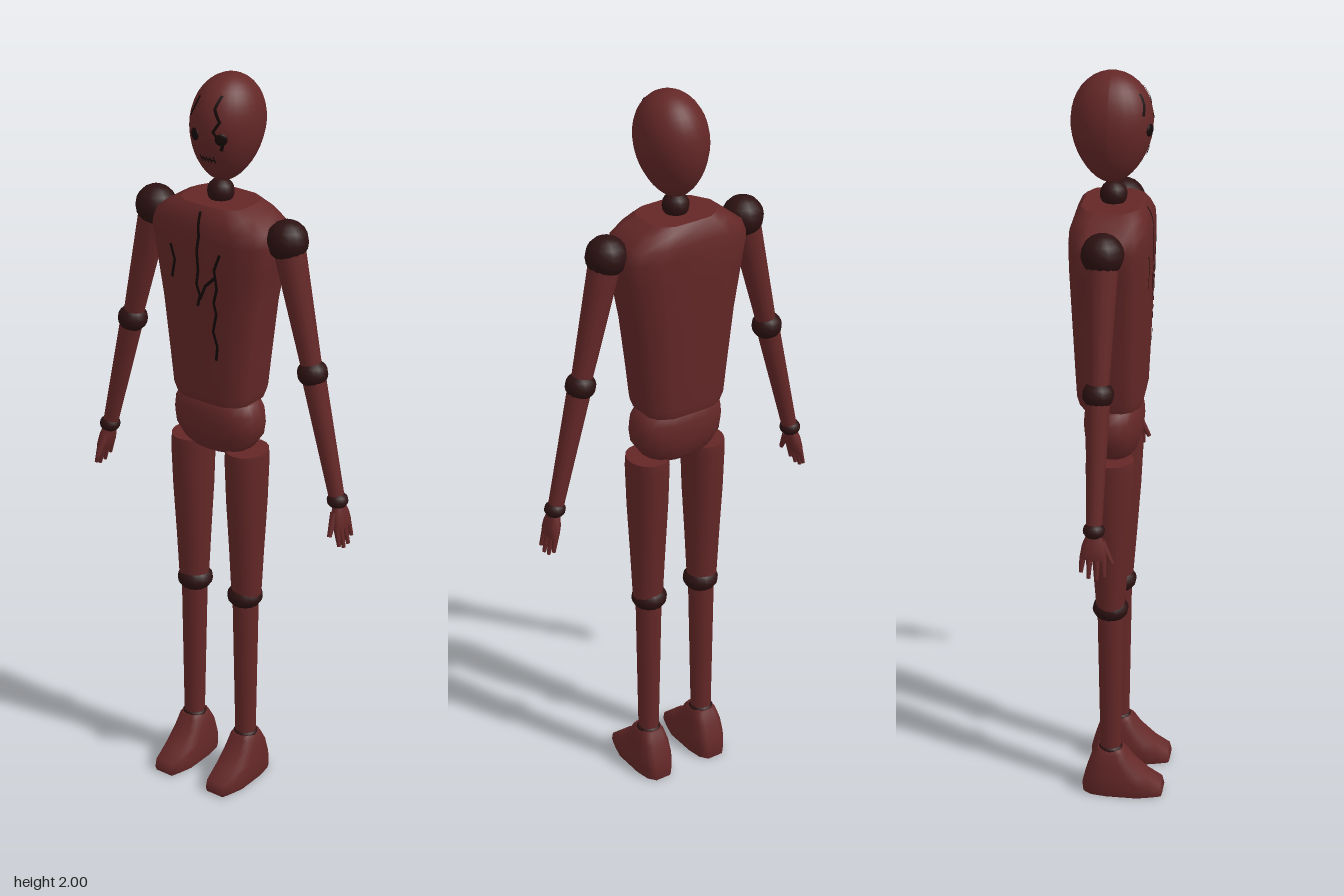
import * as THREE from 'three';

const mat = (name, color, side = THREE.FrontSide) => {
  const m = new THREE.MeshStandardMaterial({ color, side });
  m.name = name;
  return m;
};
const Z = -0.018; // common depth of the joints

// Mirror half an outline (front to back, x >= 0) into a closed cross-section
const mirrored = half => [...half, ...half.filter(p => p[0] > 0).reverse().map(([x, z]) => [-x, z])];
const round = (n, e = 1) => Array.from({ length: n }, (_, i) => {
  const a = (i / n) * Math.PI * 2, p = v => Math.sign(v) * Math.abs(v) ** e;
  return [p(Math.sin(a)), p(Math.cos(a))];
});

// Skin rings [y, halfX, halfZ, centreZ] from bottom to top, with flat caps
function loft(rings, section) {
  const n = section.length, pos = [], idx = [];
  const ring = ([y, hx, hz, cz = 0]) => section.forEach(([x, z]) => pos.push(x * hx, y, z * hz + cz));
  rings.forEach(ring);
  for (let i = 0; i < rings.length - 1; i++) {
    for (let j = 0; j < n; j++) {
      const a = i * n + j, b = i * n + (j + 1) % n;
      idx.push(a, b, b + n, a, b + n, a + n);
    }
  }
  for (const top of [false, true]) {
    const r = top ? rings[rings.length - 1] : rings[0], start = pos.length / 3;
    ring(r);
    pos.push(0, r[0], r[3] || 0);
    for (let j = 0; j < n; j++) {
      const a = start + j, b = start + (j + 1) % n;
      idx.push(start + n, ...(top ? [a, b] : [b, a]));
    }
  }
  const g = new THREE.BufferGeometry();
  g.setAttribute('position', new THREE.Float32BufferAttribute(pos, 3));
  g.setIndex(idx);
  g.computeVertexNormals();
  return g;
}

export function createModel() {
  const wood = mat('redWood', 0x642727);
  const dark = mat('darkJoint', 0x2c1111);
  const crackMat = mat('crackBlack', 0x150707, THREE.DoubleSide);
  const root = new THREE.Group();
  root.name = 'jointedMannequin';

  const add = (parent, name, geo, material, x = 0, y = 0, z = 0) => {
    const m = new THREE.Mesh(geo, material);
    m.name = name;
    m.position.set(x, y, z);
    parent.add(m);
    return m;
  };
  const ball = (parent, name, r, x, y, z = Z, sy = 1) => {
    const m = add(parent, name, new THREE.SphereGeometry(r, 14, 10), dark, x, y, z);
    m.scale.y = sy;
    return m;
  };
  // Tapered rod from point a to point b
  const rod = (parent, name, a, b, ra, rb, material = wood, sides = 14) => {
    const A = new THREE.Vector3(...a), B = new THREE.Vector3(...b), d = B.clone().sub(A);
    const m = add(parent, name, new THREE.CylinderGeometry(rb, ra, d.length(), sides), material);
    m.position.copy(A).add(B).multiplyScalar(0.5);
    m.quaternion.setFromUnitVectors(new THREE.Vector3(0, 1, 0), d.normalize());
    return m;
  };

  // Torso and pelvis
  const chestSection = mirrored([[0, 1], [0.56, 0.98], [0.88, 0.75], [1, 0.45], [1, -0.45], [0.88, -0.75], [0.56, -0.98], [0, -1]]);
  const torso = add(root, 'torso', loft([
    [1.135, 0.108, 0.08], [1.16, 0.117, 0.086], [1.25, 0.127, 0.09], [1.4, 0.145, 0.096], [1.52, 0.167, 0.1],
    [1.59, 0.182, 0.1], [1.625, 0.168, 0.098], [1.655, 0.13, 0.088], [1.672, 0.095, 0.074],
  ], chestSection), wood, 0, 0, -0.02);
  add(root, 'pelvis', loft([
    [0.99, 0.08, 0.05], [1.005, 0.102, 0.062], [1.04, 0.126, 0.074], [1.075, 0.131, 0.077],
    [1.105, 0.128, 0.075], [1.13, 0.114, 0.068], [1.137, 0.1, 0.058],
  ], round(20, 0.85)), wood, 0, 0, -0.016);

  // Neck and egg-shaped head, leaning to its left
  ball(root, 'neckJoint', 0.035, 0, 1.69);
  const skull = new THREE.SphereGeometry(1, 28, 20), sp = skull.attributes.position;
  for (let i = 0; i < sp.count; i++) {
    const y = sp.getY(i), k = 1 + 0.13 * y - 0.04 * y * y;
    sp.setXYZ(i, sp.getX(i) * 0.09 * k, y * 0.1405, sp.getZ(i) * 0.103 * k);
  }
  skull.computeVertexNormals();
  const head = add(root, 'head', skull, wood, 0.016, 1.86, -0.024);
  head.rotation.z = -0.1;

  // Painted lines laid on the front of a part
  root.updateMatrixWorld(true);
  const caster = new THREE.Raycaster();
  const hit = (target, x, y) => {
    caster.set(new THREE.Vector3(x, y, 1), new THREE.Vector3(0, 0, -1));
    return caster.intersectObject(target, false)[0];
  };
  const drape = (name, target, points, width) => {
    const pos = [], idx = [];
    const dense = points.slice(1).flatMap(([x, y], i) => [0, 0.25, 0.5, 0.75].map(t =>
      [points[i][0] + (x - points[i][0]) * t, points[i][1] + (y - points[i][1]) * t]));
    dense.push(points[points.length - 1]);
    dense.forEach(([x, y], i) => {
      const p = dense[Math.max(i - 1, 0)], q = dense[Math.min(i + 1, dense.length - 1)];
      const dx = q[0] - p[0], dy = q[1] - p[1], w = width / 2 / Math.hypot(dx, dy);
      for (const s of [-1, 1]) {
        const u = x - s * dy * w, v = y + s * dx * w, h = hit(target, u, v);
        pos.push(u, v, (h ? h.point.z : 0) + 0.003);
      }
      if (i) idx.push(2 * i - 2, 2 * i, 2 * i - 1, 2 * i - 1, 2 * i, 2 * i + 1);
    });
    const g = new THREE.BufferGeometry();
    g.setAttribute('position', new THREE.Float32BufferAttribute(pos, 3));
    g.setIndex(idx);
    g.computeVertexNormals();
    add(root, name, g, crackMat);
  };
  [
    [[0, 1.66], [0.006, 1.6], [0, 1.56], [0.004, 1.51], [-0.002, 1.47], [0.008, 1.44], [0, 1.41]],
    [[0.07, 1.565], [0.053, 1.52], [0.06, 1.47], [0.05, 1.43], [0.057, 1.4], [0.046, 1.35], [0.058, 1.31], [0.053, 1.27]],
    [[0.055, 1.5], [0.025, 1.47], [0.008, 1.43]],
    [[-0.083, 1.56], [-0.07, 1.52], [-0.08, 1.47]],
  ].forEach(c => drape('chestCrack', torso, c, 0.008));
  [
    [[0.05, 1.965], [0.044, 1.935], [0.06, 1.905], [0.046, 1.88], [0.066, 1.85], [0.06, 1.83]],
    [[-0.012, 1.955], [-0.02, 1.93], [-0.033, 1.905]],
  ].forEach(c => drape('headCrack', head, c, 0.007));

  // Eyes and stitched mouth
  for (const [x, y] of [[-0.011, 1.863], [0.062, 1.86]]) {
    const h = hit(head, x, y);
    const eye = add(root, 'eye', new THREE.SphereGeometry(0.016, 14, 8), crackMat);
    eye.position.copy(h.point);
    eye.scale.z = 0.3;
    eye.quaternion.setFromUnitVectors(new THREE.Vector3(0, 0, 1),
      h.face.normal.clone().transformDirection(head.matrixWorld));
  }
  drape('mouth', head, [[-0.002, 1.804], [0.02, 1.802], [0.042, 1.8]], 0.004);
  for (let i = 0; i < 5; i++) {
    const x = 0.002 + i * 0.009;
    drape('mouthStitch', head, [[x, 1.811], [x + 0.002, 1.793]], 0.003);
  }

  const footSection = mirrored([[0.58, 1], [0.8, 0.72], [1, 0.4], [1, -0.4], [0.85, -0.8], [0.5, -1]]);
  for (const s of [1, -1]) {
    const side = new THREE.Group();
    side.name = s > 0 ? 'leftLimbs' : 'rightLimbs';
    root.add(side);

    // Arm
    ball(side, 'shoulderJoint', 0.054, s * 0.205, 1.605);
    rod(side, 'upperArm', [s * 0.287, 1.27, Z], [s * 0.21, 1.59, Z], 0.026, 0.041);
    ball(side, 'elbowJoint', 0.04, s * 0.287, 1.268, Z, 0.92);
    rod(side, 'forearm', [s * 0.37, 0.935, Z], [s * 0.289, 1.265, Z], 0.02, 0.031);
    ball(side, 'wristJoint', 0.028, s * 0.371, 0.935, Z, 0.8);

    // Hand with four fingers and a forward thumb
    const hand = new THREE.Group();
    hand.name = 'hand';
    hand.position.set(s * 0.373, 0.928, Z);
    hand.rotation.z = s * 0.23;
    side.add(hand);
    add(hand, 'palm', loft([
      [-0.068, 0.011, 0.031], [-0.055, 0.015, 0.033], [-0.03, 0.017, 0.029], [0, 0.014, 0.017],
    ], round(12, 0.8)), wood);
    [[-0.026, 0.102], [-0.009, 0.117], [0.009, 0.12], [0.025, 0.11]].forEach(([z, len]) =>
      rod(hand, 'finger', [0, -len, z * 1.15], [0, -0.06, z], 0.005, 0.0085, wood, 8));
    rod(hand, 'thumb', [-s * 0.012, -0.078, 0.046], [-s * 0.004, -0.022, 0.018], 0.006, 0.011, wood, 8);

    // Leg
    add(side, 'thigh', loft([
      [0.56, 0.041, 0.037, -0.016], [0.7, 0.046, 0.048, -0.016], [0.85, 0.053, 0.059, -0.016],
      [0.97, 0.056, 0.065, -0.016], [0.997, 0.055, 0.062, -0.016],
    ], round(18)), wood, s * 0.087);
    ball(side, 'kneeJoint', 0.048, s * 0.083, 0.56, -0.016, 0.74);
    rod(side, 'shin', [s * 0.087, 0.135, -0.016], [s * 0.085, 0.55, -0.016], 0.028, 0.035);
    ball(side, 'ankleJoint', 0.033, s * 0.087, 0.135, -0.016, 0.4);
    add(side, 'foot', loft([
      [0, 0.045, 0.106, 0.018], [0.012, 0.048, 0.109, 0.019], [0.035, 0.048, 0.106, 0.016],
      [0.06, 0.047, 0.083, 0], [0.1, 0.042, 0.056, -0.014], [0.125, 0.036, 0.041, -0.015], [0.136, 0.029, 0.034, -0.016],
    ], footSection), wood, s * 0.087);
  }
  return root;
}
